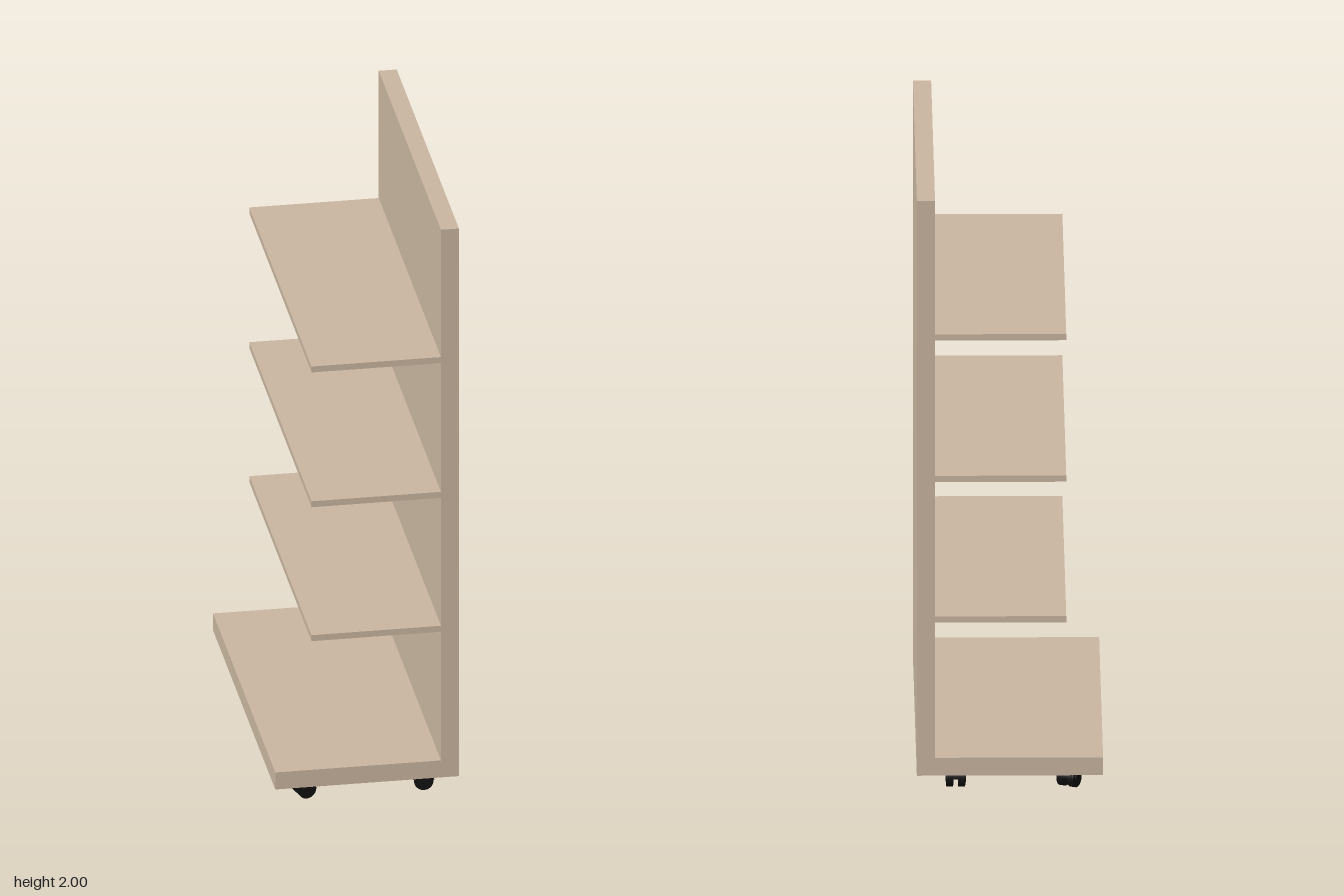
import * as THREE from 'three';

const wood = new THREE.MeshStandardMaterial({ color: 0xcab6a0 });
const black = new THREE.MeshStandardMaterial({ color: 0x111111 });

const DEPTH = 1.186;

function add(parent, name, geometry, material, x = 0, y = 0, z = 0) {
  const mesh = new THREE.Mesh(geometry, material);
  mesh.name = name;
  mesh.position.set(x, y, z);
  parent.add(mesh);
  return mesh;
}

// Twin-wheel swivel caster, axle along its own z, standing on y = 0
function caster(x, z, turn) {
  const group = new THREE.Group();
  group.name = 'caster';
  for (const side of [-1, 1]) {
    const wheel = add(group, 'wheel', new THREE.CylinderGeometry(0.031, 0.031, 0.021, 24), black, 0, 0.031, side * 0.019);
    wheel.rotation.x = Math.PI / 2;
    const hub = add(group, 'hubCap', new THREE.CylinderGeometry(0.016, 0.016, 0.004, 20), black, 0, 0.031, side * 0.03);
    hub.rotation.x = Math.PI / 2;
  }
  const axle = add(group, 'axle', new THREE.CylinderGeometry(0.008, 0.008, 0.05, 12), black, 0, 0.031, 0);
  axle.rotation.x = Math.PI / 2;
  // Hood over the upper half of the wheels
  const hood = new THREE.Shape();
  hood.absarc(0, 0, 0.034, 0, Math.PI, false);
  hood.closePath();
  add(group, 'hood', new THREE.ExtrudeGeometry(hood, { depth: 0.046, bevelEnabled: false, curveSegments: 16 }), black, 0, 0.033, -0.023);
  add(group, 'stem', new THREE.CylinderGeometry(0.012, 0.012, 0.03, 16), black, 0.012, 0.058, 0);
  group.position.set(x, 0, z);
  group.rotation.y = turn;
  return group;
}

export function createModel() {
  const model = new THREE.Group();
  model.name = 'mobileShelf';

  // L-shaped body: base deck and upright back panel in one profile
  const profile = new THREE.Shape([
    [-0.297, 0.07], [0.295, 0.07], [0.295, 2], [0.237, 2], [0.237, 0.13], [-0.297, 0.13],
  ].map(([x, y]) => new THREE.Vector2(x, y)));
  add(model, 'baseAndBackPanel', new THREE.ExtrudeGeometry(profile, { depth: DEPTH, bevelEnabled: false }), wood, 0, 0, -DEPTH / 2);

  // Three cantilevered shelves
  for (const y of [0.594, 1.066, 1.541]) {
    add(model, 'shelf', new THREE.BoxGeometry(0.417, 0.021, DEPTH), wood, 0.0285, y, 0);
  }

  // Casters, each swivelled differently
  model.add(
    caster(-0.19, 0.502, 0.25),
    caster(0.195, 0.502, -0.1),
    caster(-0.19, -0.49, 1.1),
    caster(0.17, -0.49, 1.5),
  );
  return model;
}
